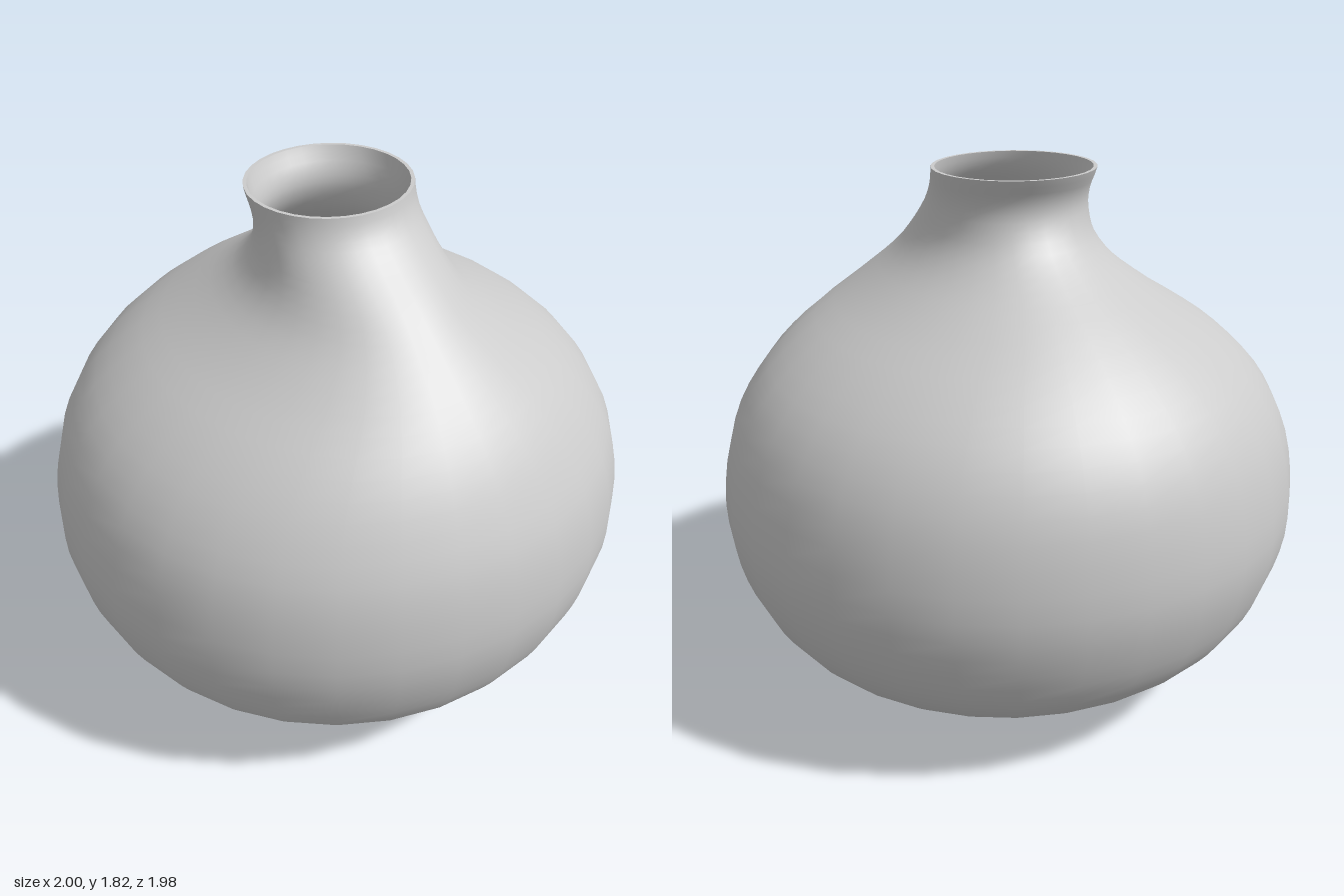
import * as THREE from 'three';

const SIDES = 32;
const WALL = 0.012;

// Cross-sections from base to rim: [height, half width, front reach, back reach]
const SECTIONS = [
  [0, 0.25, 0.25, 0.25],
  [0.045, 0.42, 0.41, 0.41],
  [0.1, 0.59, 0.57, 0.57],
  [0.2, 0.77, 0.75, 0.75],
  [0.33, 0.89, 0.88, 0.88],
  [0.5, 0.97, 0.955, 0.955],
  [0.7, 1.0, 0.988, 0.988],
  [0.94, 0.96, 0.96, 0.955],
  [1.125, 0.86, 0.88, 0.87],
  [1.27, 0.705, 0.785, 0.74],
  [1.395, 0.51, 0.665, 0.58],
  [1.5, 0.37, 0.54, 0.42],
  [1.59, 0.3, 0.435, 0.31],
  [1.68, 0.272, 0.32, 0.26],
  [1.75, 0.264, 0.25, 0.263],
  [1.82, 0.27, 0.22, 0.3],
];

// Smoothed rings { y, rx, rz, zc } along the sections
function smoothRings(count) {
  const radii = new THREE.CatmullRomCurve3(
    SECTIONS.map(([y, w, f, b]) => new THREE.Vector3(w, y, (f + b) / 2)), false, 'catmullrom', 0.5);
  const centres = new THREE.SplineCurve(
    SECTIONS.map(([y, w, f, b]) => new THREE.Vector2(y, (f - b) / 2)));
  return Array.from({ length: count + 1 }, (_, i) => {
    const r = radii.getPoint(i / count);
    return { y: r.y, rx: r.x, rz: r.z, zc: centres.getPoint(i / count).y };
  });
}

// Closed elliptical rings joined into one smooth skin; faces outward for rising rings
function loft(rings) {
  const position = [], index = [];
  rings.forEach(({ y, rx, rz, zc }, j) => {
    for (let i = 0; i < SIDES; i++) {
      const a = (i / SIDES) * Math.PI * 2;
      position.push(Math.sin(a) * rx, y, Math.cos(a) * rz + zc);
      if (j === 0) continue;
      const n = (i + 1) % SIDES, lo = (j - 1) * SIDES, hi = j * SIDES;
      index.push(lo + i, lo + n, hi + n, lo + i, hi + n, hi + i);
    }
  });
  const geometry = new THREE.BufferGeometry();
  geometry.setAttribute('position', new THREE.Float32BufferAttribute(position, 3));
  geometry.setIndex(index);
  geometry.computeVertexNormals();
  return geometry;
}

export function createModel() {
  const group = new THREE.Group();
  group.name = 'vase';
  const material = new THREE.MeshStandardMaterial({ color: 0xcccccc, side: THREE.DoubleSide });
  const add = (name, rings) => {
    const mesh = new THREE.Mesh(loft(rings), material);
    mesh.name = name;
    group.add(mesh);
  };

  const outer = smoothRings(45);
  const inner = outer.map((r, i) => ({
    y: i === outer.length - 1 ? r.y : r.y + WALL * (1 - i / (outer.length - 1)),
    rx: r.rx - WALL, rz: r.rz - WALL, zc: r.zc,
  }));
  const point = (y) => ({ y, rx: 0, rz: 0, zc: 0 });

  // Outside with its flat foot, leaning neck and spout-like front
  add('outerBody', [point(0), ...outer]);
  // Thin lip joining the two skins
  add('rim', [outer.at(-1), inner.at(-1)]);
  // Hollow inside, from the lip down to the floor
  add('innerWall', [...inner.reverse(), point(WALL)]);
  return group;
}
